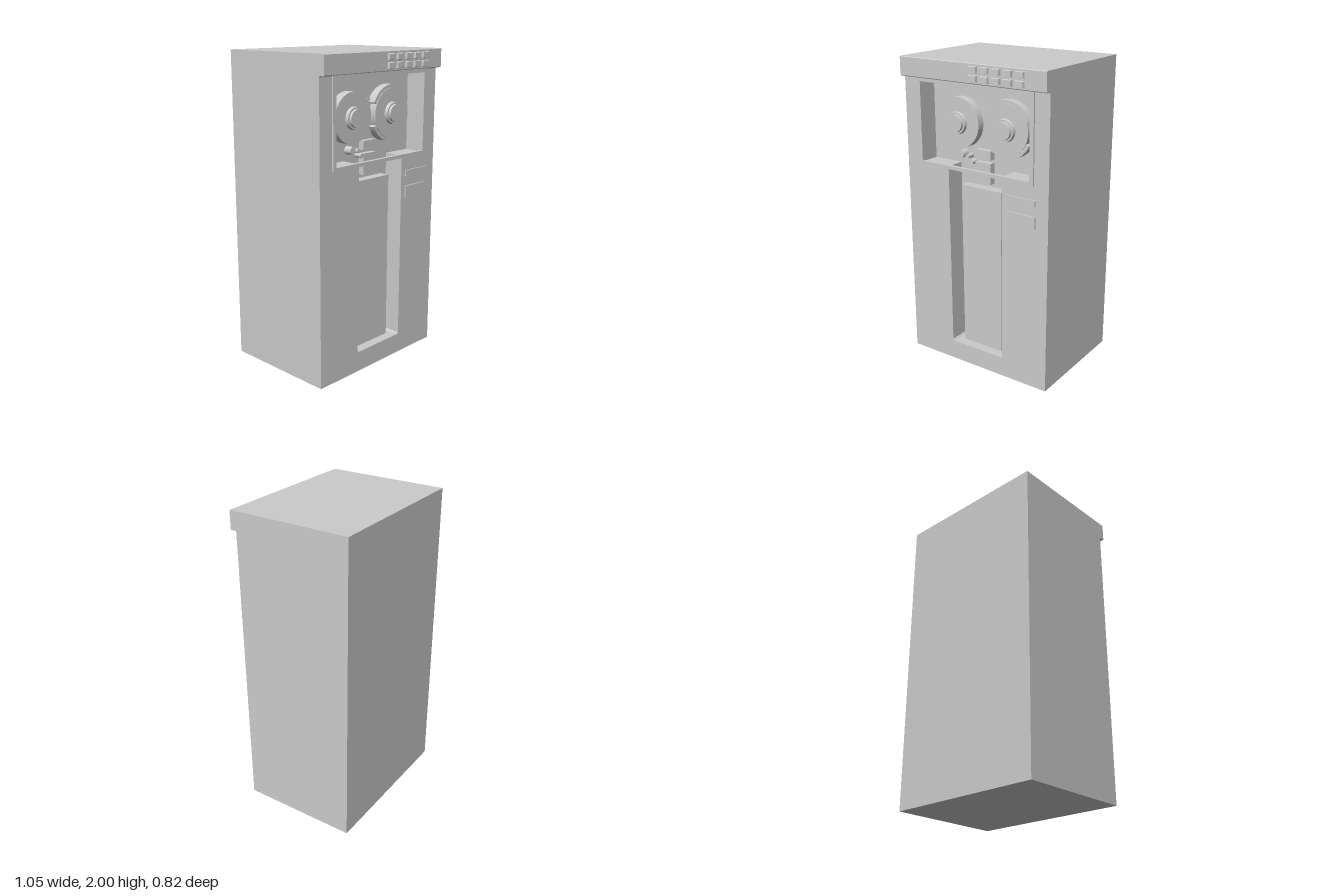
import * as THREE from 'three';

const material = new THREE.MeshStandardMaterial({ color: 0xcccccc, flatShading: false });
const BACK = 0.225; // rear wall of the recess
const FRONT = 0.355; // cabinet front plane

export function createModel() {
  const model = new THREE.Group();

  const add = (name, geometry, x = 0, y = 0, z = 0) => {
    const mesh = new THREE.Mesh(geometry, material);
    mesh.name = name;
    mesh.position.set(x, y, z);
    model.add(mesh);
    return mesh;
  };
  // Box given by its limits on each axis
  const box = (name, x0, x1, y0, y1, z0, z1) =>
    add(name, new THREE.BoxGeometry(x1 - x0, y1 - y0, z1 - z0), (x0 + x1) / 2, (y0 + y1) / 2, (z0 + z1) / 2);
  // Disc facing the front
  const disc = (name, x, y, r, z0, z1, rTop = r) => {
    const g = new THREE.CylinderGeometry(rTop, r, z1 - z0, 48).rotateX(Math.PI / 2);
    return add(name, g, x, y, (z0 + z1) / 2);
  };
  const polygon = (points, Type = THREE.Shape) => new Type(points.map(([x, y]) => new THREE.Vector2(x, y)));
  const extrude = (shape, depth) =>
    new THREE.ExtrudeGeometry(shape, { depth, bevelEnabled: false, curveSegments: 24 });
  const rectangle = (x, y0, y1) => [[-x, y0], [x, y0], [x, y1], [-x, y1]];

  // Cabinet: solid rear and a front slab with a T-shaped recess
  box('cabinetBody', -0.527, 0.527, 0, 2, -0.412, BACK);
  const slab = polygon(rectangle(0.527, 0, 1.88));
  slab.holes.push(polygon([
    [-0.2, 0.14], [-0.19, 0.13], [0.19, 0.13], [0.2, 0.14], [0.2, 1.345],
    [0.405, 1.345], [0.405, 1.86], [-0.405, 1.86], [-0.405, 1.345], [-0.2, 1.345],
  ], THREE.Path));
  add('cabinetFront', extrude(slab, FRONT - BACK), 0, 0, BACK);

  // Overhanging header, side profile drawn as (z, y) with a fillet underneath
  const profile = new THREE.Shape();
  profile.moveTo(BACK, 1.87);
  profile.lineTo(FRONT, 1.87);
  profile.quadraticCurveTo(FRONT, 1.88, FRONT + 0.01, 1.88);
  profile.lineTo(0.391, 1.88);
  profile.lineTo(0.395, 1.884);
  profile.lineTo(0.395, 1.996);
  profile.lineTo(0.391, 2);
  profile.lineTo(BACK, 2);
  add('header', extrude(profile, 1.054).rotateY(-Math.PI / 2), 0.527, 0, 0);
  // Extruding along -x mirrors nothing: (z, y) becomes the side outline

  // Window frame, its lower bar bridging the channel
  const frame = polygon(rectangle(0.427, 1.33, 1.88));
  frame.holes.push(polygon(rectangle(0.4, 1.352, 1.853), THREE.Path));
  add('windowFrame', extrude(frame, 0.025), 0, 0, 0.34);

  // Vacuum column panel in the channel
  box('columnPanel', -0.15, 0.15, 0.13, 1.22, BACK, 0.29);

  // Tape reels with hubs
  for (const [side, x] of [['right', -0.175], ['left', 0.18]]) {
    disc(side + 'Reel', x, 1.61, 0.157, BACK, 0.285);
    disc(side + 'Hub', x, 1.61, 0.07, 0.285, 0.305, 0.066);
    disc(side + 'HubCap', x, 1.61, 0.055, 0.305, 0.32, 0.053);
  }
  box('reelPlate', -0.175, 0.18, 1.49, 1.71, BACK, 0.235);

  // Guard arcs above and below one reel
  for (const start of [25, 205]) {
    const a = THREE.MathUtils.degToRad(start);
    const b = THREE.MathUtils.degToRad(start + 130);
    const arc = new THREE.Shape();
    arc.absarc(0, 0, 0.178, a, b, false);
    arc.absarc(0, 0, 0.155, b, a, true);
    add('reelGuard', extrude(arc, 0.055), 0.18, 1.61, BACK);
  }

  // Tape heads and guide rollers
  box('upperHead', -0.06, 0.055, 1.4, 1.457, BACK, 0.265);
  box('lowerHead', -0.06, 0.055, 1.245, 1.378, BACK, 0.265);
  for (const [x, y, r] of [[-0.165, 1.41, 0.026], [-0.115, 1.403, 0.015], [-0.085, 1.37, 0.015]])
    disc('guideRoller', x, y, r, BACK, 0.275, r * 0.9);

  // Plates beside the channel
  box('upperPlate', 0.235, 0.44, 1.205, 1.245, FRONT - 0.005, 0.365);
  box('lowerPlate', 0.235, 0.44, 1.067, 1.142, FRONT - 0.005, 0.365);

  // Two rows of tapered push buttons
  for (let column = 0; column < 5; column++) {
    for (const y of [1.965, 1.913]) {
      const g = new THREE.BoxGeometry(0.06, 0.04, 0.017);
      const p = g.attributes.position;
      for (let i = 0; i < p.count; i++)
        if (p.getZ(i) > 0) p.setXY(i, p.getX(i) * 0.88, p.getY(i) * 0.82);
      g.computeVertexNormals();
      add('button', g, 0.03 + column * 0.081, y, 0.4025);
    }
  }
  return model;
}
